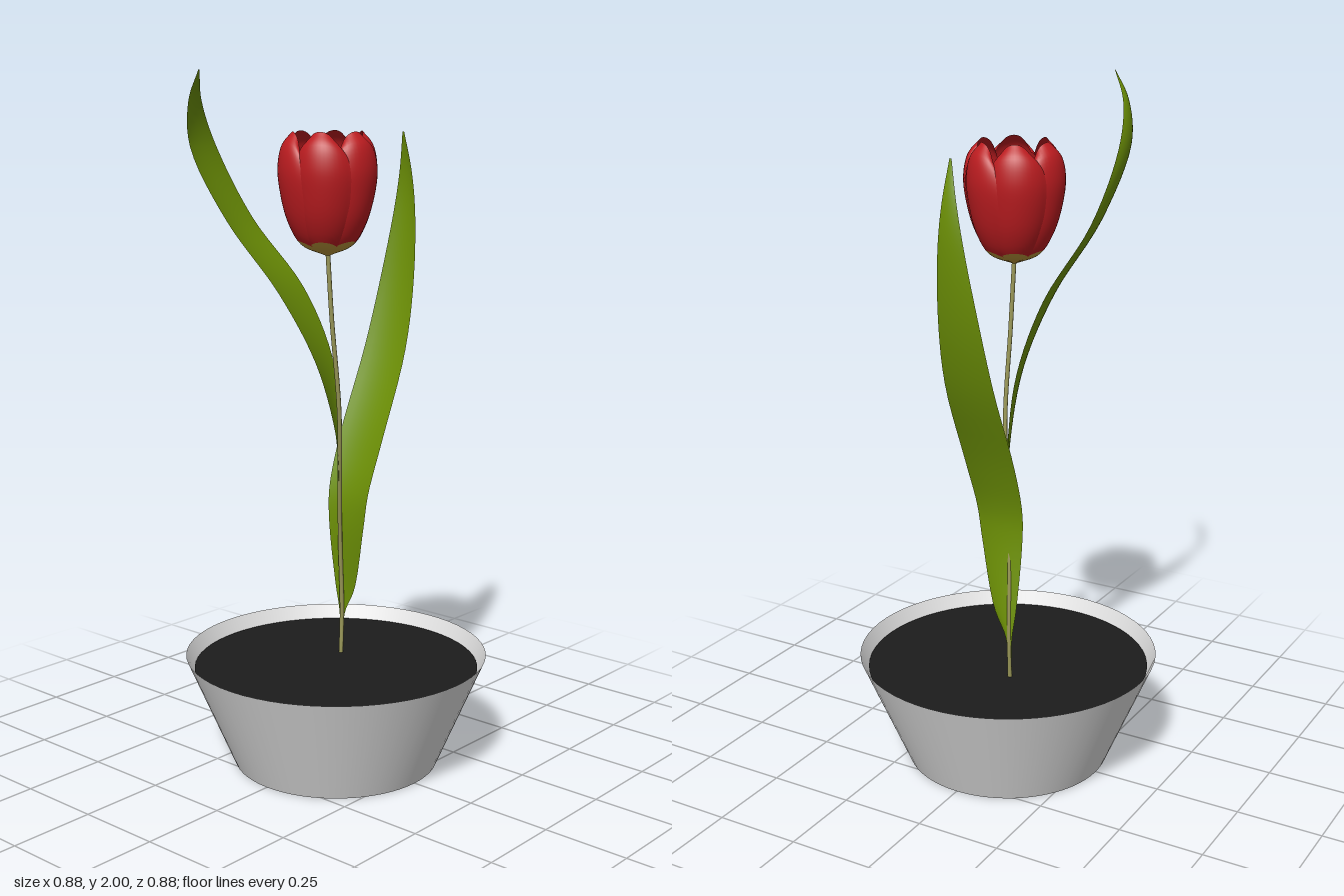
import * as THREE from 'three';
import { ParametricGeometry } from 'three/addons/geometries/ParametricGeometry.js';

const V = (x, y, z) => new THREE.Vector3(x, y, z);

function material(name, color, side = THREE.FrontSide) {
  const m = new THREE.MeshStandardMaterial({ color, side });
  m.name = name;
  return m;
}

function addMesh(parent, name, geometry, mat) {
  const m = new THREE.Mesh(geometry, mat);
  m.name = name;
  parent.add(m);
  return m;
}

// Smooth open surface from a rule (u, v) -> position
function sheet(rule, nu, nv) {
  const g = new ParametricGeometry((u, v, p) => p.copy(rule(u, v)), nu, nv);
  g.computeVertexNormals();
  return g;
}

// Blade stretched between two edge curves, with its midrib pushed along "cup"
function blade(edgeA, edgeB, cup) {
  const a = new THREE.CatmullRomCurve3(edgeA);
  const b = new THREE.CatmullRomCurve3(edgeB);
  return sheet((u, v) => {
    const s = 2 * u - 1;
    const p = a.getPoint(v).lerp(b.getPoint(v), u);
    return p.addScaledVector(cup, (1 - s * s) * Math.sin(Math.PI * v));
  }, 8, 48);
}

export function createModel() {
  const model = new THREE.Group();
  model.name = 'pottedTulip';

  const potGrey = material('pot grey', 0xe4e4e4, THREE.DoubleSide);
  const soilBlack = material('soil black', 0x1c1c1c);
  const leafGreen = material('leaf green', 0x6e9206, THREE.DoubleSide);
  const stemOlive = material('stem olive', 0x9a9858);
  const petalRed = material('petal red', 0xbc1c20, THREE.DoubleSide);
  const petalGold = material('petal base gold', 0xbc963a, THREE.DoubleSide);
  const antherDark = material('anther dark', 0x1e180c);

  // Pot: thin tapered wall, floor and soil
  const pot = new THREE.Group();
  pot.name = 'pot';
  model.add(pot);
  addMesh(pot, 'potWall', new THREE.CylinderGeometry(0.44, 0.3, 0.33, 64, 1, true), potGrey).position.y = 0.165;
  addMesh(pot, 'potFloor', new THREE.CircleGeometry(0.3, 64).rotateX(Math.PI / 2), potGrey);
  addMesh(pot, 'soil', new THREE.CircleGeometry(0.416, 64).rotateX(-Math.PI / 2), soilBlack).position.y = 0.29;

  // Stem
  const stemPath = new THREE.CatmullRomCurve3([
    V(0.085, 0.28, -0.055), V(0.09, 0.42, -0.055), V(0.07, 0.65, -0.045), V(0.045, 0.8, -0.025),
    V(0.008, 1.05, 0.005), V(-0.024, 1.32, 0.005), V(-0.035, 1.51, 0),
  ]);
  addMesh(model, 'stem', new THREE.TubeGeometry(stemPath, 48, 0.0065, 8), stemOlive);

  // Tall leaf, rows of [y, left x, right x, left z, right z]
  const tallRows = [
    [0.79, 0.037, 0.052, -0.02, -0.035], [0.9, 0.01, 0.06, 0, -0.035], [1.0, -0.015, 0.063, 0.008, -0.035],
    [1.2, -0.087, 0.04, 0, -0.05], [1.4, -0.178, -0.03, -0.055, -0.095], [1.6, -0.283, -0.15, -0.148, -0.178],
    [1.8, -0.372, -0.262, -0.192, -0.205], [1.92, -0.398, -0.34, -0.168, -0.178], [2.0, -0.406, -0.402, -0.12, -0.12],
  ];
  addMesh(model, 'tallLeaf', blade(
    tallRows.map(([y, l, , z]) => V(l, y, z)),
    tallRows.map(([y, , r, , z]) => V(r, y, z)), V(0, 0, -0.012)), leafGreen);

  // Outer leaf, rows of [y, x, front z, back z]
  const outerRows = [
    [0.3, 0.087, -0.049, -0.061], [0.41, 0.09, -0.045, -0.064], [0.5, 0.083, 0, -0.074],
    [0.7, 0.064, 0.05, -0.083], [0.8, 0.07, 0.062, -0.087], [0.95, 0.119, 0.072, -0.089],
    [1.2, 0.23, 0.066, -0.088], [1.4, 0.29, 0.048, -0.078], [1.6, 0.319, 0.028, -0.052],
    [1.72, 0.318, 0.014, -0.03], [1.83, 0.297, 0.002, -0.004],
  ];
  addMesh(model, 'outerLeaf', blade(
    outerRows.map(([y, x, f]) => V(x, y, f)),
    outerRows.map(([y, x, , b]) => V(x, y, b)), V(0.012, 0, 0)), leafGreen);

  // Blossom: six overlapping petals, gold at the base and red above
  const flower = new THREE.Group();
  flower.name = 'blossom';
  flower.position.set(-0.035, 0, 0);
  model.add(flower);
  const profile = new THREE.CatmullRomCurve3([
    V(0.008, 1.498, 0), V(0.072, 1.527, 0), V(0.11, 1.59, 0), V(0.133, 1.68, 0),
    V(0.138, 1.745, 0), V(0.126, 1.803, 0), V(0.098, 1.838, 0),
  ]);
  const petalPoint = (s, t) => {
    const p = profile.getPoint(t * (1 - 0.08 * s ** 4));
    const angle = s * 0.72 * (1 - 0.3 * t ** 6);
    const r = p.x * (1 - 0.1 * s * s + 0.06 * s * Math.min(1, t * 2));
    return V(Math.sin(angle) * r, p.y - 0.03 * s * s * t ** 4, Math.cos(angle) * r * 1.03);
  };
  // The gold base rises to a blunt point in the middle of each petal
  const split = (s) => 0.21 - 0.06 * s * s;
  const goldGeo = sheet((u, v) => {
    const s = 2 * u - 1;
    return petalPoint(s, v * split(s));
  }, 16, 6);
  const redGeo = sheet((u, v) => {
    const s = 2 * u - 1;
    return petalPoint(s, split(s) + v * (1 - split(s)));
  }, 16, 24);
  for (let i = 0; i < 6; i++) {
    const petal = new THREE.Group();
    petal.name = 'petal';
    petal.rotation.y = (i * Math.PI) / 3;
    addMesh(petal, 'petalBase', goldGeo, petalGold);
    addMesh(petal, 'petalBlade', redGeo, petalRed);
    flower.add(petal);
  }

  // Gold lining inside the cup, pleated into twelve rays
  const lining = new THREE.CatmullRomCurve3([V(0.002, 1.515, 0), V(0.05, 1.533, 0), V(0.072, 1.56, 0), V(0.088, 1.595, 0)]);
  addMesh(flower, 'cupLining', sheet((u, v) => {
    const a = u * Math.PI * 2;
    const p = lining.getPoint(v);
    const pleat = Math.abs(Math.sin(6 * a));
    return V(Math.cos(a) * p.x, p.y + 0.012 * v * pleat, Math.sin(a) * p.x);
  }, 72, 8), petalGold);

  // Pistil and ring of stamens
  addMesh(flower, 'pistil', new THREE.CylinderGeometry(0.005, 0.007, 0.08, 8), petalGold).position.y = 1.56;
  for (let i = 0; i < 6; i++) {
    const stamen = new THREE.Group();
    stamen.name = 'stamen';
    stamen.rotation.y = (i * Math.PI) / 3;
    addMesh(stamen, 'filament', new THREE.CylinderGeometry(0.002, 0.003, 0.07, 6), petalGold).position.set(0, 1.555, 0.02);
    const anther = addMesh(stamen, 'anther', new THREE.SphereGeometry(0.005, 8, 6), antherDark);
    anther.position.set(0, 1.605, 0.02);
    anther.scale.set(0.8, 4, 1.3);
    flower.add(stamen);
  }

  return model;
}
